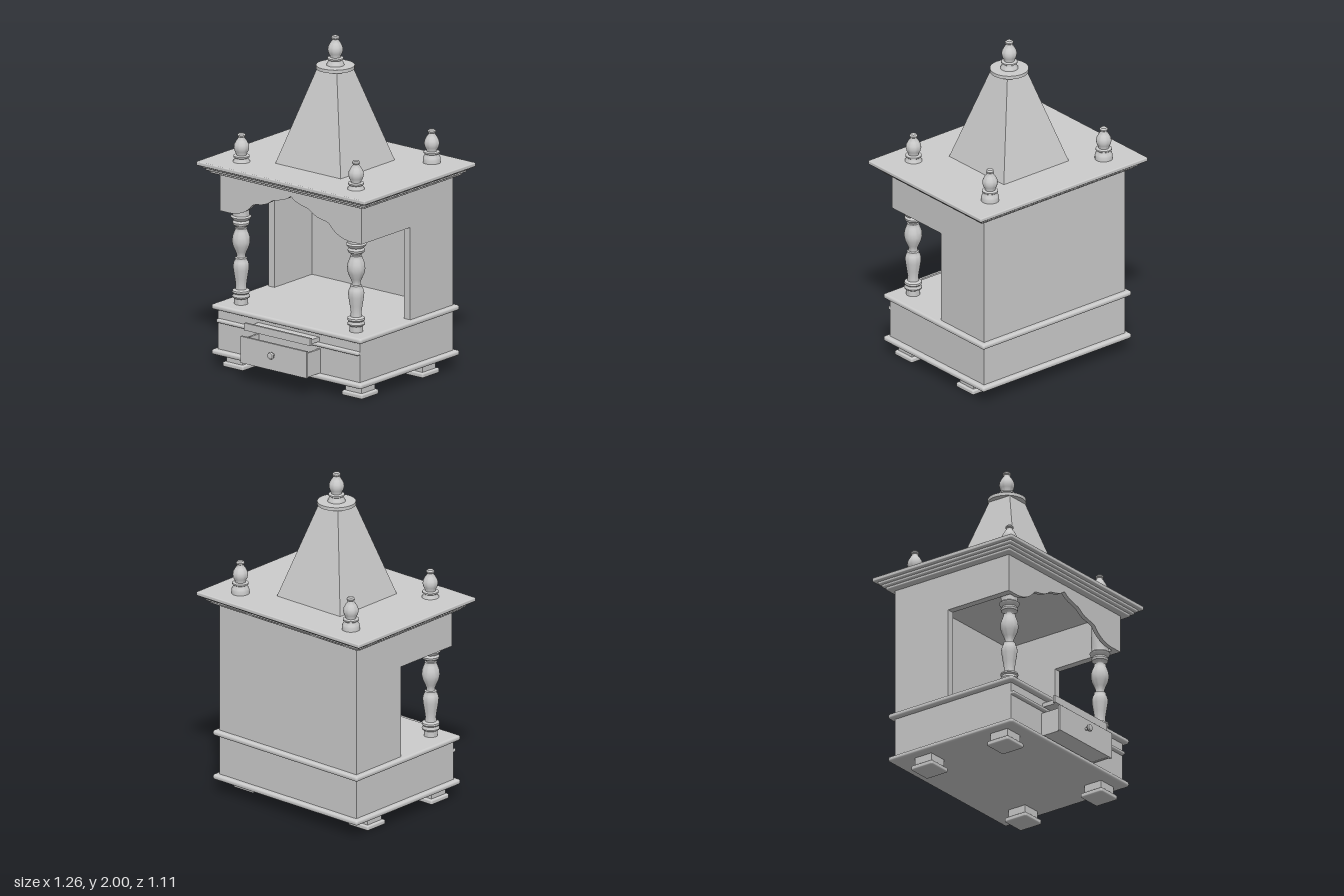
import * as THREE from 'three';
import { toCreasedNormals } from 'three/addons/utils/BufferGeometryUtils.js';
import { RoundedBoxGeometry } from 'three/addons/geometries/RoundedBoxGeometry.js';

const material = new THREE.MeshStandardMaterial({ color: 0xcccccc });
const MID_Z = -0.05; // centre of the cabinet in depth

export function createModel() {
  const model = new THREE.Group();
  model.name = 'shrine';

  const add = (name, geometry, x = 0, y = 0, z = 0) => {
    const mesh = new THREE.Mesh(geometry, material);
    mesh.name = name;
    mesh.position.set(x, y, z);
    model.add(mesh);
    return mesh;
  };
  // Box given by its limits along each axis, optionally with rounded edges
  const box = (name, x0, x1, y0, y1, z0, z1, round = 0) => {
    const size = [x1 - x0, y1 - y0, z1 - z0];
    const geometry = round ? new RoundedBoxGeometry(...size, 3, round) : new THREE.BoxGeometry(...size);
    return add(name, geometry, (x0 + x1) / 2, (y0 + y1) / 2, (z0 + z1) / 2);
  };
  // Turned part from [radius, height] pairs
  const turned = (profile, segments = 32) => toCreasedNormals(
    new THREE.LatheGeometry(profile.map(([r, y]) => new THREE.Vector2(r, y)), segments), 0.7);
  const bothSides = (fn) => [-1, 1].forEach(fn);

  // Stepped feet
  bothSides((s) => [0.27, -0.28].forEach((z) => {
    const x = s * 0.445;
    box('footPad', x - 0.077, x + 0.077, 0, 0.03, z - 0.077, z + 0.077, 0.01);
    box('footBlock', x - 0.06, x + 0.06, 0.03, 0.085, z - 0.06, z + 0.06);
  }));

  // Base with rounded mouldings
  box('baseBody', -0.53, 0.53, 0.09, 0.37, -0.465, 0.375);
  box('baseLowerMoulding', -0.56, 0.56, 0.08, 0.112, -0.495, 0.405, 0.014);
  box('baseUpperMoulding', -0.56, 0.56, 0.352, 0.384, -0.495, 0.405, 0.014);
  box('baseFrontBand', -0.53, 0.53, 0.275, 0.297, 0.36, 0.397, 0.009);

  // Open drawer
  box('drawerFront', -0.248, 0.245, 0.115, 0.275, 0.5, 0.515);
  box('drawerFloor', -0.235, 0.232, 0.118, 0.133, 0.37, 0.502);
  box('drawerSide', -0.24, -0.226, 0.115, 0.26, 0.37, 0.502);
  box('drawerSide', 0.223, 0.237, 0.115, 0.26, 0.37, 0.502);
  const knob = add('drawerKnob', turned([
    [0.009, 0], [0.008, 0.018], [0.021, 0.022], [0.023, 0.028], [0.018, 0.036], [0, 0.041],
  ], 24), 0, 0.21, 0.514);
  knob.rotation.x = Math.PI / 2;

  // Pull-out tray above the drawer
  box('trayShelf', -0.23, 0.227, 0.302, 0.328, 0.37, 0.468);
  box('trayLip', -0.248, 0.245, 0.302, 0.346, 0.465, 0.48);

  // Back wall, and side walls cut away at the front
  box('backWall', -0.53, 0.53, 0.38, 1.18, -0.465, -0.42);
  bothSides((s) => {
    const wall = new THREE.Shape([
      [-0.43, 0.38], [-0.08, 0.38], [-0.08, 0.94], [0.34, 0.94], [0.34, 1.18], [-0.43, 1.18],
    ].map(([z, y]) => new THREE.Vector2(-z, y)));
    const geometry = new THREE.ExtrudeGeometry(wall, { depth: 0.045, bevelEnabled: false });
    geometry.rotateY(Math.PI / 2);
    add('sideWall', geometry, s > 0 ? 0.485 : -0.53);
  });

  // Front valance with a scalloped arch
  const arch = new THREE.Shape();
  arch.moveTo(-0.53, 1.18);
  arch.lineTo(-0.53, 0.94);
  arch.lineTo(-0.44, 0.94);
  arch.quadraticCurveTo(-0.34, 0.95, -0.29, 1.015);
  arch.bezierCurveTo(-0.26, 1.04, -0.2, 1.02, -0.14, 1.073);
  arch.bezierCurveTo(-0.1, 1.09, -0.05, 1.085, 0, 1.127);
  arch.bezierCurveTo(0.05, 1.085, 0.1, 1.09, 0.14, 1.073);
  arch.bezierCurveTo(0.2, 1.02, 0.26, 1.04, 0.29, 1.015);
  arch.quadraticCurveTo(0.34, 0.95, 0.44, 0.94);
  arch.lineTo(0.53, 0.94);
  arch.lineTo(0.53, 1.18);
  add('archedValance', new THREE.ExtrudeGeometry(arch, { depth: 0.025, bevelEnabled: false, curveSegments: 10 }), 0, 0, 0.335);

  // Turned front columns
  const column = turned([
    [0.04, 0.38], [0.04, 0.418], [0.05, 0.424], [0.052, 0.432], [0.045, 0.442], [0.045, 0.448],
    [0.052, 0.456], [0.05, 0.466], [0.033, 0.474], [0.031, 0.5], [0.037, 0.54], [0.045, 0.59],
    [0.047, 0.615], [0.042, 0.637], [0.035, 0.648], [0.035, 0.66], [0.026, 0.664], [0.025, 0.68],
    [0.033, 0.7], [0.047, 0.732], [0.053, 0.76], [0.05, 0.79], [0.04, 0.818], [0.035, 0.83],
    [0.035, 0.84], [0.028, 0.843], [0.03, 0.85], [0.047, 0.862], [0.05, 0.875], [0.042, 0.888],
    [0.055, 0.9], [0.06, 0.91], [0.05, 0.918], [0.048, 0.935], [0.052, 0.96], [0.045, 1.18],
  ]);
  bothSides((s) => add('column', column, s * 0.43, 0, 0.288));

  // Stepped cornice, widening upward
  [[0.575, 1.168, 1.186], [0.592, 1.184, 1.201], [0.607, 1.2, 1.219], [0.63, 1.215, 1.24]].forEach(([w, y0, y1], i) => {
    const d = w - 0.125;
    box('corniceStep' + (i + 1), -w, w, y0, y1, MID_Z - d, MID_Z + d, 0.007);
  });

  // Tapered spire and its cap disc
  const spire = new THREE.CylinderGeometry(0.071 * Math.SQRT2, 0.246 * Math.SQRT2, 0.58, 4);
  spire.rotateY(Math.PI / 4);
  add('spire', toCreasedNormals(spire, 0.5), -0.007, 1.525, MID_Z);
  add('spireDisc', toCreasedNormals(new THREE.CylinderGeometry(0.112, 0.112, 0.02, 40), 0.7), -0.007, 1.813, MID_Z - 0.003);

  // Turned finials on the spire and the roof corners
  const finial = turned([
    [0, 0], [0.052, 0], [0.052, 0.022], [0.049, 0.034], [0.041, 0.046], [0.04, 0.053],
    [0.047, 0.058], [0.047, 0.066], [0.03, 0.07], [0.03, 0.076], [0.04, 0.094], [0.045, 0.115],
    [0.042, 0.134], [0.031, 0.155], [0.019, 0.172], [0.018, 0.178], [0.024, 0.183], [0.024, 0.19],
    [0.017, 0.198], [0, 0.2],
  ]);
  add('spireFinial', finial, -0.007, 1.8, MID_Z - 0.003);
  bothSides((s) => {
    add('frontFinial', finial, s * 0.428, 1.21, 0.287);
    add('rearFinial', finial, s * 0.428, 1.239, -0.398);
  });

  return model;
}
